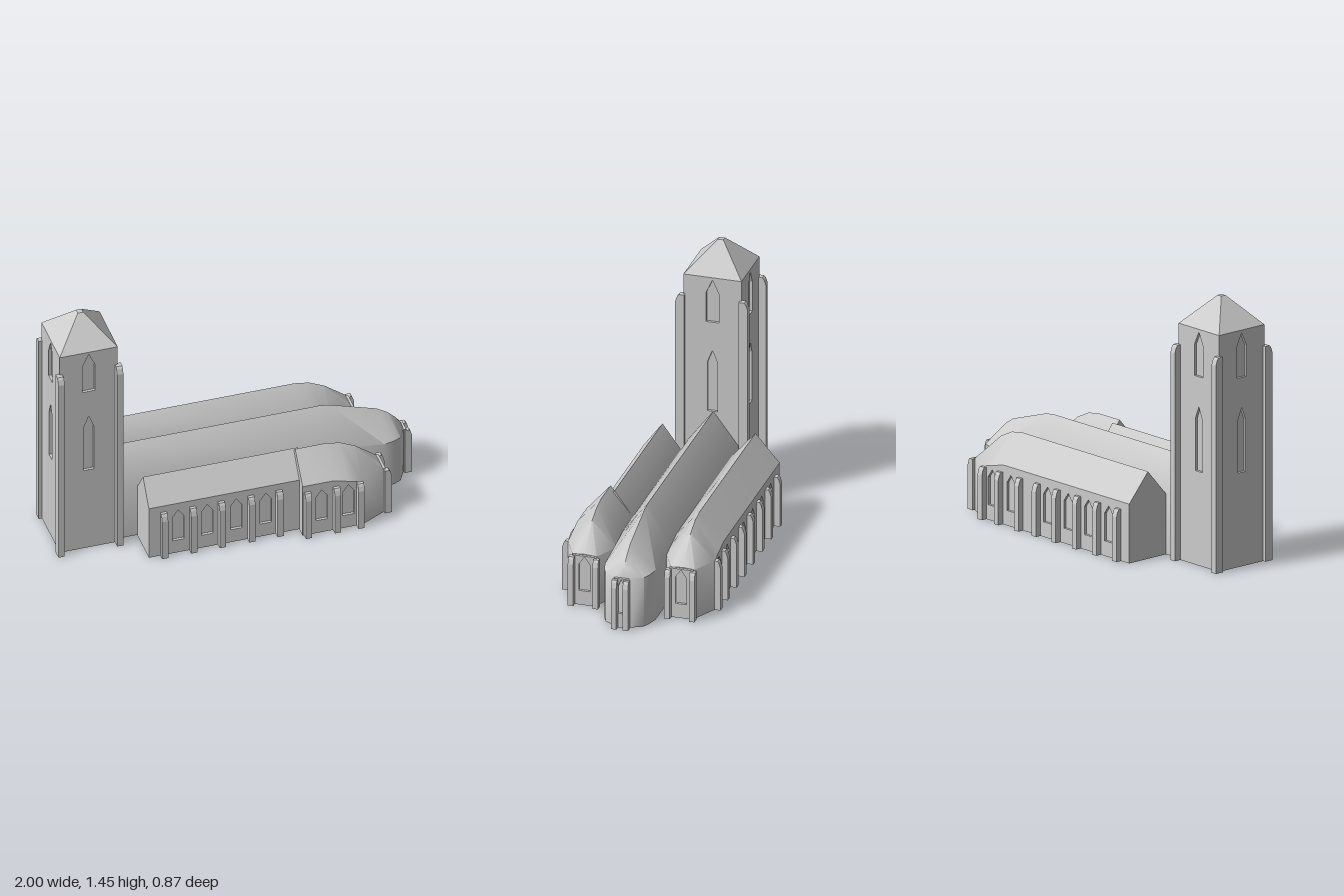
import * as THREE from 'three';
import { toCreasedNormals } from 'three/addons/utils/BufferGeometryUtils.js';

const stone = new THREE.MeshStandardMaterial({ color: 0xcccccc });
stone.name = 'stone';
const T = 0.015; // window recess depth

export function createModel() {
  const model = new THREE.Group();
  model.name = 'church';

  const add = (name, geo, x = 0, y = 0, z = 0, turn = 0, parent = model) => {
    const m = new THREE.Mesh(geo, stone);
    m.name = name;
    m.position.set(x, y, z);
    m.rotation.y = turn;
    parent.add(m);
    return m;
  };

  // Wall slab with pointed window openings; its face lies on local z = 0
  const wall = (outline, windows) => {
    const shape = new THREE.Shape(outline.map(([x, y]) => new THREE.Vector2(x, y)));
    for (const [x, w, y0, shoulder, y1] of windows) {
      const h = w / 2;
      shape.holes.push(new THREE.Path([[x - h, y0], [x + h, y0], [x + h, shoulder], [x, y1], [x - h, shoulder]]
        .map(([a, b]) => new THREE.Vector2(a, b))));
    }
    return new THREE.ExtrudeGeometry(shape, { depth: T, bevelEnabled: false }).translate(0, 0, -T);
  };

  // Buttress with a sloped outer top, projecting along local +z
  const buttress = (h, d, w = 0.034) => {
    const pts = [[-0.01, 0], [d, 0], [d, h - 0.04], [d * 0.75, h - 0.012], [d * 0.5, h], [-0.01, h]];
    const shape = new THREE.Shape(pts.map(([a, b]) => new THREE.Vector2(a, b)));
    return new THREE.ExtrudeGeometry(shape, { depth: w, bevelEnabled: false })
      .translate(0, 0, -w / 2).rotateY(-Math.PI / 2);
  };

  // Gabled hall lofted along x; each section is [x, halfWidth, eave, ridge, wallInset],
  // the inset being taken from the wall on the given side
  const hall = (centre, side, sections) => {
    const rings = sections.map(([x, hw, eave, ridge, inset = 0]) => {
      const a = centre - hw, b = centre + hw;
      const ai = a + (side < 0 ? inset : 0), bi = b - (side > 0 ? inset : 0);
      return [[x, 0, ai], [x, eave, ai], [x, eave, a], [x, ridge, centre], [x, eave, b], [x, eave, bi], [x, 0, bi]];
    });
    const pos = [];
    const tri = (...p) => p.forEach((v) => pos.push(...v));
    const n = 7;
    for (let j = 0; j < rings.length - 1; j++) {
      for (let i = 0; i < n; i++) {
        const a = rings[j][i], b = rings[j][(i + 1) % n];
        const c = rings[j + 1][(i + 1) % n], d = rings[j + 1][i];
        if (i < 3) { tri(a, b, d); tri(b, c, d); } else { tri(a, b, c); tri(a, c, d); }
      }
    }
    const first = rings[0], last = rings[rings.length - 1];
    for (let k = 1; k < n - 1; k++) {
      const p = (3 + k) % n, q = (4 + k) % n;
      tri(last[3], last[p], last[q]);
      tri(first[3], first[q], first[p]);
    }
    const g = new THREE.BufferGeometry();
    g.setAttribute('position', new THREE.Float32BufferAttribute(pos, 3));
    return toCreasedNormals(g, 0.75);
  };

  // Tower
  const tower = new THREE.Group();
  tower.name = 'tower';
  tower.position.x = -0.82;
  model.add(tower);
  const R = 0.16, H = 1.295;
  add('towerCore', new THREE.BoxGeometry(2 * (R - T), H, 2 * (R - T)), 0, H / 2, 0, 0, tower);
  const towerWall = wall([[-R, 0], [R, 0], [R, H], [-R, H]],
    [[0, 0.07, 1.035, 1.205, 1.28], [0, 0.056, 0.515, 0.8, 0.87]]);
  for (let k = 0; k < 4; k++) {
    const t = k * Math.PI / 2;
    add('towerWall', towerWall, R * Math.sin(t), 0, R * Math.cos(t), t, tower);
  }
  const roof = new THREE.CylinderGeometry(0.015 * Math.SQRT2, R * Math.SQRT2, 0.157, 4).rotateY(Math.PI / 4);
  add('towerRoof', toCreasedNormals(roof, 0.5), 0, H + 0.0785, 0, 0, tower);
  const towerButtress = buttress(1.18, 0.04);
  for (const sx of [-1, 1]) {
    for (const sz of [-1, 1]) {
      add('towerButtress', towerButtress, sx * 0.162, 0, sz * R, sz > 0 ? 0 : Math.PI, tower);
    }
  }

  // Nave with rounded apse
  add('nave', hall(-0.005, 1, [
    [-0.67, 0.14, 0.33, 0.515], [0.5, 0.14, 0.33, 0.515], [0.56, 0.14, 0.32, 0.507],
    [0.82, 0.14, 0.287, 0.423], [0.88, 0.124, 0.285, 0.385], [0.92, 0.105, 0.285, 0.345],
    [0.955, 0.04, 0.285, 0.295],
  ]));

  // Side halls: the rear one runs full length, the front one is narrower with a wide chapel
  const chapelEnd = (x0) => [
    [x0, 0.133, 0.325, 0.478, T], [0.45, 0.133, 0.325, 0.478, T], [0.53, 0.133, 0.305, 0.465, T],
    [0.615, 0.133, 0.285, 0.425, T], [0.615, 0.133, 0.285, 0.425, 0], [0.75, 0.066, 0.285, 0.29, 0],
  ];
  const eaveLine = [[0.615, 0], [0.615, 0.285], [0.53, 0.305], [0.45, 0.325]];
  const win = (x) => [x, 0.065, 0.082, 0.235, 0.28];
  const aisleWindows = [-0.383, -0.223, -0.063, 0.1];
  const chapelWindows = [0.39, 0.537];
  const aisleButtresses = [-0.465, -0.305, -0.147, 0.016, 0.172];
  const chapelButtresses = [0.31, 0.47, 0.6];

  add('rearAisle', hall(-0.273, -1, chapelEnd(-0.545)));
  add('rearAisleWall', wall(
    [...eaveLine, [-0.545, 0.325], [-0.545, 0]].map(([x, y]) => [-x, y]),
    [...aisleWindows, ...chapelWindows].map((x) => win(-x))), 0, 0, -0.406, Math.PI);

  add('frontAisle', hall(0.24, 1, [[-0.545, 0.102, 0.325, 0.462, T], [0.31, 0.102, 0.325, 0.462, T]]));
  add('frontAisleWall', wall([[-0.545, 0], [0.3, 0], [0.3, 0.325], [-0.545, 0.325]],
    aisleWindows.map(win)), 0, 0, 0.342);
  add('frontChapel', hall(0.269, 1, chapelEnd(0.285)));
  add('frontChapelWall', wall([...eaveLine, [0.285, 0.325], [0.285, 0]],
    chapelWindows.map(win)), 0, 0, 0.402);

  // Buttresses along the long walls
  const sideButtress = buttress(0.285, 0.033);
  for (const x of aisleButtresses) add('aisleButtress', sideButtress, x, 0, 0.342);
  for (const x of chapelButtresses) add('chapelButtress', sideButtress, x, 0, 0.402);
  for (const x of [...aisleButtresses, ...chapelButtresses]) {
    add('rearButtress', sideButtress, x, 0, -0.406, Math.PI);
  }

  // East ends: window wall flanked by two buttresses
  const eastEnd = (name, x, z, half, spread, w) => {
    add(name + 'EndWall', wall([[-half, 0], [half, 0], [half, 0.285], [-half, 0.285]],
      [[0, w, 0.082, 0.235, 0.28]]), x, 0, z, Math.PI / 2);
    const b = buttress(0.28, 0.03, 0.03);
    for (const s of [-1, 1]) add(name + 'EndButtress', b, x, 0, z + s * spread, Math.PI / 2);
  };
  eastEnd('rearAisle', 0.765, -0.267, 0.066, 0.068, 0.062);
  eastEnd('frontChapel', 0.765, 0.265, 0.066, 0.068, 0.062);
  eastEnd('nave', 0.97, 0, 0.04, 0.032, 0.036);

  return model;
}
